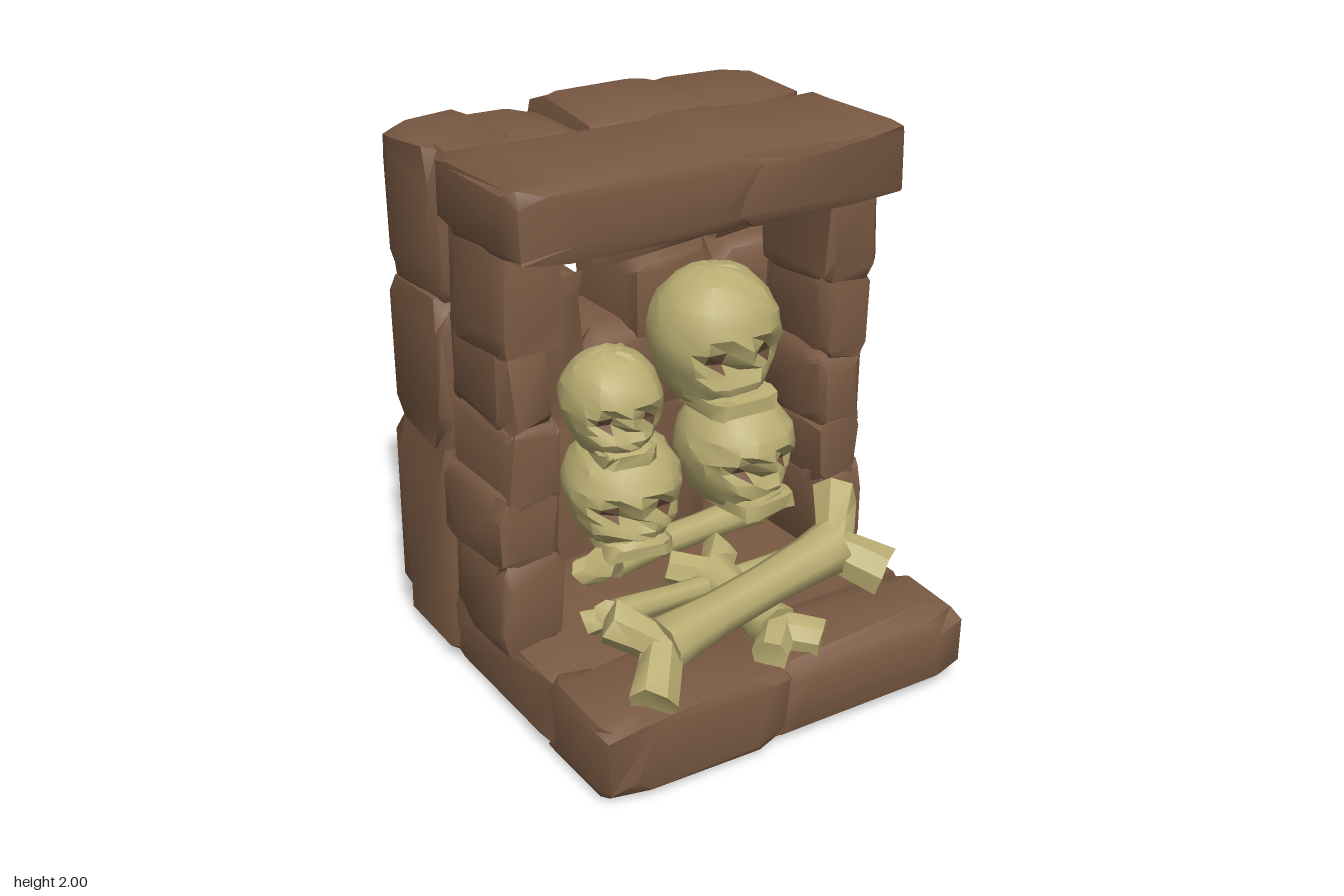
import * as THREE from 'three';
import { mergeVertices, toCreasedNormals } from 'three/addons/utils/BufferGeometryUtils.js';

const stone = new THREE.MeshStandardMaterial({ color: 0x7a5a43 });
stone.name = 'brown stone';
const bone = new THREE.MeshStandardMaterial({ color: 0xb9ad72 });
bone.name = 'old bone';

let seed = 7;
const rand = () => {
  seed = (seed * 16807) % 2147483647;
  return seed / 2147483647;
};
const jitter = (a) => (rand() * 2 - 1) * a;

// Weld a geometry, move every vertex by a rule, then rebuild the normals
function reshape(geo, rule, crease) {
  geo.deleteAttribute('uv');
  geo.deleteAttribute('normal');
  geo = mergeVertices(geo, 1e-4);
  const p = geo.attributes.position;
  const v = new THREE.Vector3();
  for (let i = 0; i < p.count; i++) {
    v.fromBufferAttribute(p, i);
    rule(v);
    p.setXYZ(i, v.x, v.y, v.z);
  }
  return toCreasedNormals(geo, crease);
}

function add(parent, name, geo, material) {
  const mesh = new THREE.Mesh(geo, material);
  mesh.name = name;
  parent.add(mesh);
  return mesh;
}

// Worn stone block between two corners, with uneven rounded edges
function block(parent, name, [x0, x1], [y0, y1], [z0, z1], worn = 0.05, material = stone) {
  const size = [x1 - x0, y1 - y0, z1 - z0];
  const mid = [(x0 + x1) / 2, (y0 + y1) / 2, (z0 + z1) / 2];
  const geo = reshape(new THREE.BoxGeometry(1, 1, 1, 3, 3, 3), (v) => {
    const u = v.toArray();
    const outer = u.filter((c) => Math.abs(c) > 0.49).length;
    const inset = [0, 0.1, 0.45, 0.8][outer] * worn;
    v.fromArray(u.map((c, i) => {
      if (Math.abs(c) > 0.49) return mid[i] + c * size[i] - Math.sign(c) * inset * (0.2 + rand() * 1.3);
      return mid[i] + c * 1.8 * size[i] + jitter(0.09 * size[i]);
    }));
  }, 0.85);
  return add(parent, name, geo, material);
}

// Long bone: a waisted shaft whose ends fork into two flaring prongs
function longBone(parent, name, a, b, r, spread, knuckle) {
  const g = new THREE.Group();
  g.name = name;
  const up = new THREE.Vector3(0, 1, 0);
  const from = new THREE.Vector3(...a), to = new THREE.Vector3(...b);
  const dir = to.clone().sub(from);
  const len = dir.length();
  dir.normalize();
  const profile = [[0, 0], [1.2, 0], [1.1, 0.12], [0.95, 0.3], [0.93, 0.6], [1.05, 0.87], [1.2, 1], [0, 1]]
    .map(([k, t]) => new THREE.Vector2(k * r, t * len));
  const shaft = add(g, name + 'Shaft', toCreasedNormals(new THREE.LatheGeometry(profile, 8), 0.8), bone);
  shaft.position.copy(from);
  shaft.quaternion.setFromUnitVectors(up, dir);
  for (const [end, out] of [[from, -1], [to, 1]]) {
    for (const s of [-1, 1]) {
      const reach = new THREE.Vector3(...spread).multiplyScalar(s).addScaledVector(dir, out * knuckle);
      const reachLength = reach.length() + knuckle * 0.9;
      reach.normalize();
      const geo = reshape(new THREE.CylinderGeometry(knuckle * 0.85, r * 0.8, reachLength, 7, 2), (v) => {
        if (v.y > -0.01) v.multiplyScalar(1 + jitter(0.13));
      }, 0.7);
      const prong = add(g, name + 'Prong', geo, bone);
      prong.position.copy(end).addScaledVector(reach, reachLength * 0.35);
      prong.quaternion.setFromUnitVectors(up, reach);
    }
  }
  parent.add(g);
}

// Boxy skull: eye and nose hollows have small dark openings at their centres
function skull(parent, name, [x, y, z], [w, h, d], turn) {
  const g = new THREE.Group();
  g.name = name;
  const hollows = [[-0.42, -0.18, 0.3], [0.42, -0.18, 0.3], [0, -0.42, 0.18]];
  const nearest = (px, py) => Math.min(...hollows.map(([hx, hy, r]) => Math.hypot(px - hx, py - hy) / r));
  const geo = reshape(new THREE.SphereGeometry(1, 20, 16), (v) => {
    // Square off the lower half and taper it towards the chin
    const low = Math.max(0, -v.y);
    const girth = Math.hypot(v.x, v.z);
    if (low > 0 && girth > 0.01) {
      const k = Math.pow(girth, 0.45) / girth;
      v.x *= k * (1 - 0.22 * low);
      v.z *= k * (1 - 0.12 * low);
    }
    v.x = Math.sign(v.x) * Math.pow(Math.abs(v.x), 0.88);
    v.x += jitter(0.025);
    v.y += jitter(0.025);
    v.z += jitter(0.03);
    const q = nearest(v.x, v.y);
    if (v.z > 0 && q < 1) v.z -= 0.28 * (1 - q * q);
  }, 0.5);
  const p = geo.attributes.position;
  const mean = (get, i) => (get.call(p, i) + get.call(p, i + 1) + get.call(p, i + 2)) / 3;
  for (let i = 0; i < p.count; i += 3) {
    const open = mean(p.getZ, i) > 0 && nearest(mean(p.getX, i), mean(p.getY, i)) < 0.42;
    geo.addGroup(i, 3, open ? 1 : 0);
  }
  geo.scale(w / 2, h / 2, d / 2);
  add(g, name + 'Cranium', geo, [bone, stone]);
  // Upper jaw
  block(g, name + 'Jaw', [-w * 0.3, w * 0.3], [-h * 0.51, -h * 0.33], [-d * 0.1, d * 0.49], 0.05, bone);
  g.position.set(x, y, z);
  g.rotation.y = turn;
  parent.add(g);
}

export function createModel() {
  const model = new THREE.Group();
  model.name = 'boneNiche';

  // Base: front sill and floor slabs
  block(model, 'frontSill', [-0.75, 0.0], [0, 0.31], [0.34, 0.78]);
  block(model, 'frontSill', [-0.16, 0.76], [0.01, 0.3], [0.36, 0.76]);
  block(model, 'floorSlab', [-0.75, 0.02], [0.02, 0.31], [-0.4, 0.42]);
  block(model, 'floorSlab', [-0.05, 0.75], [0.02, 0.31], [-0.4, 0.42]);

  // Front pillars, mirrored
  for (const s of [-1, 1]) {
    const span = (a, b) => (s > 0 ? [a, b] : [-b, -a]);
    block(model, 'pillarStone', span(0.53, s > 0 ? 0.76 : 0.79), [0.25, 0.64], [-0.25, 0.16]);
    block(model, 'pillarStone', span(0.53, s > 0 ? 0.75 : 0.79), [0.55, 0.88], [-0.33, 0.15]);
    block(model, 'pillarStone', span(0.52, 0.75), [0.8, 1.13], [-0.28, 0.15]);
    block(model, 'pillarStone', span(0.54, 0.76), [1.06, 1.45], [-0.28, 0.15], 0.07);
    block(model, 'pillarStone', span(0.52, 0.77), [1.36, 1.8], [-0.25, 0.17]);
  }

  // Lintel across the front
  block(model, 'lintel', [-0.78, 0.25], [1.71, 1.99], [-0.27, 0.32]);
  block(model, 'lintel', [-0.05, 0.77], [1.71, 1.99], [-0.27, 0.31]);

  // Back wall in three columns, bottom to top
  const columns = [
    { x: [-0.77, -0.17], rows: [[0.01, 0.89], [0.84, 1.46]] },
    { x: [-0.23, 0.39], rows: [[0.02, 0.88], [0.83, 1.2]] },
    { x: [0.32, 0.77], rows: [[0.01, 0.88], [0.84, 1.44]] },
  ];
  for (const { x, rows } of columns) {
    rows.forEach((y, i) => block(model, 'backStone', x, y, i ? [-0.76, -0.27] : [-0.78, -0.31], 0.07));
  }
  block(model, 'backStone', [0.0, 0.4], [1.0, 1.46], [-0.75, -0.27], 0.06);
  block(model, 'backCornerStone', [-0.77, -0.42], [1.41, 1.98], [-0.76, -0.27], 0.06);
  block(model, 'backCornerStone', [0.31, 0.77], [1.45, 1.98], [-0.76, -0.28], 0.06);
  block(model, 'backTopStone', [-0.18, 0.38], [1.45, 2], [-0.78, -0.25], 0.06);
  block(model, 'roofSlab', [-0.7, -0.15], [1.7, 1.97], [-0.75, -0.22], 0.06);

  // Stacked skulls
  skull(model, 'upperLeftSkull', [-0.265, 1.08, 0], [0.36, 0.38, 0.4], -0.1);
  skull(model, 'upperRightSkull', [0.19, 1.22, -0.04], [0.48, 0.51, 0.48], 0.05);
  skull(model, 'lowerLeftSkull', [-0.23, 0.75, 0.01], [0.43, 0.42, 0.46], -0.2);
  skull(model, 'lowerRightSkull', [0.26, 0.78, 0], [0.43, 0.44, 0.46], 0.12);

  // Large bone lying across the sill, with smaller ones beneath
  longBone(model, 'thighBone', [-0.42, 0.43, 0.58], [0.37, 0.52, 0.46], 0.085, [0, 0.07, -0.1], 0.1);
  longBone(model, 'crossBone', [0.05, 0.34, 0.58], [0.02, 0.4, 0.22], 0.08, [0.08, 0, 0], 0.08);
  longBone(model, 'smallBone', [-0.42, 0.42, 0.3], [0.36, 0.37, 0.24], 0.045, [0, 0.04, 0.05], 0.06);
  longBone(model, 'smallBone', [-0.3, 0.48, 0.06], [0.34, 0.5, 0.02], 0.06, [0, 0.04, 0.05], 0.07);
  return model;
}
